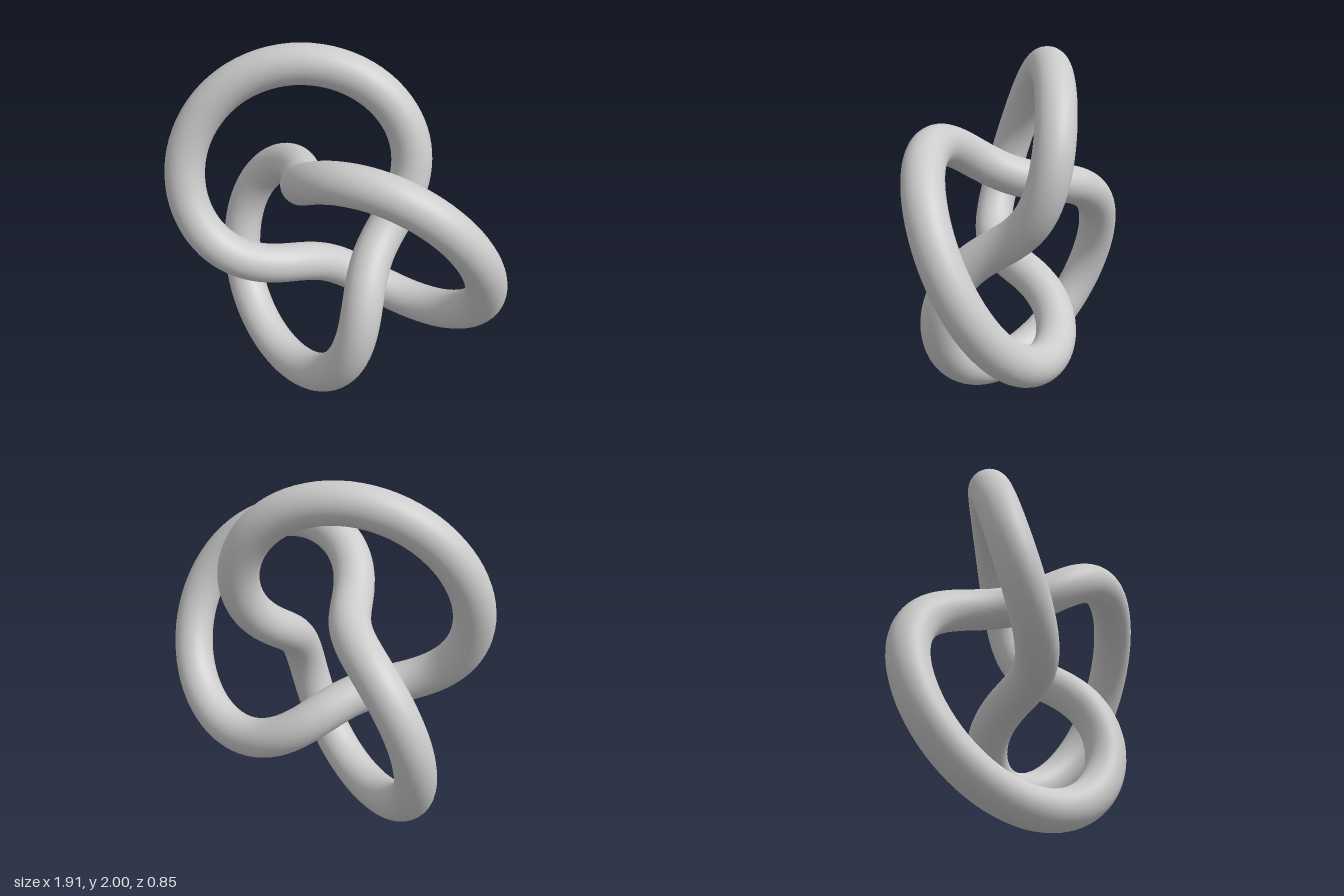
import * as THREE from 'three';

export function createModel() {
  const group = new THREE.Group();

  // Trefoil knot: one closed round tube with three lobes, the first pointing along +x
  const radius = 0.63, tube = 0.11;
  const geometry = new THREE.TorusKnotGeometry(radius, tube, 256, 32, 2, 3);

  // Centre the bounds and stand the knot on the ground
  geometry.center();
  geometry.computeBoundingBox();
  geometry.translate(0, -geometry.boundingBox.min.y, 0);

  const knot = new THREE.Mesh(geometry, new THREE.MeshStandardMaterial({ color: 0xcccccc }));
  knot.name = 'trefoilKnot';
  group.add(knot);
  return group;
}
